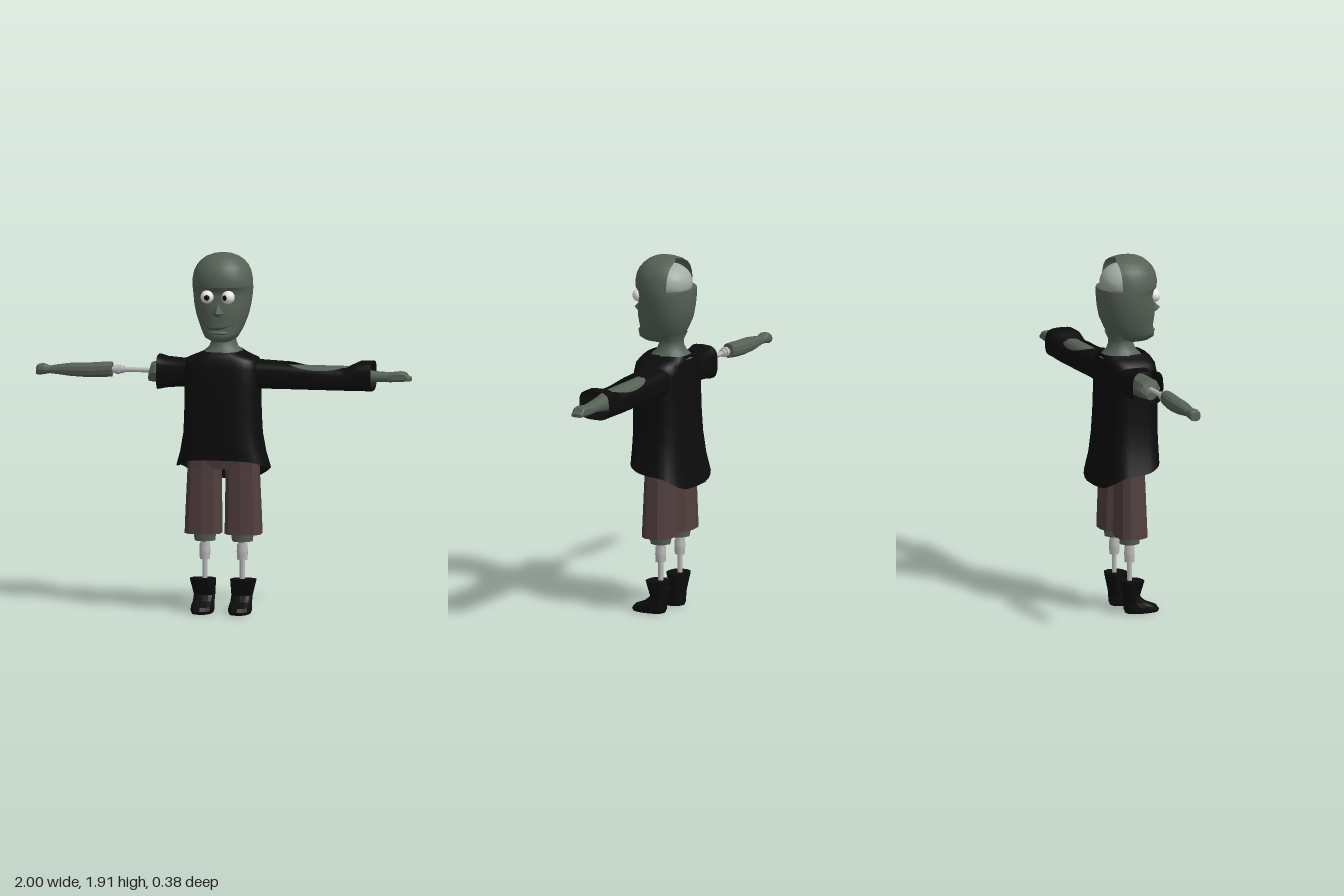
import * as THREE from 'three';
import { mergeGeometries } from 'three/addons/utils/BufferGeometryUtils.js';
import { ConvexGeometry } from 'three/addons/geometries/ConvexGeometry.js';

const mat = (name, color, side = THREE.FrontSide) => {
  const m = new THREE.MeshStandardMaterial({ color, side });
  m.name = name;
  return m;
};

// Signed power: p = 1 gives an ellipse, smaller p a rounded box
const pow = (v, p) => Math.sign(v) * Math.abs(v) ** p;

// Skin over rows of points; open loops leave a slit between first and last point
function loft(rows, n, point, { closed = true, caps = false, flat = false } = {}) {
  const pos = [], idx = [], w = closed ? n : n + 1;
  const rings = rows.map(r => Array.from({ length: w }, (_, i) => point(r, i / n)));
  rings.forEach(r => r.forEach(p => pos.push(...p)));
  for (let j = 0; j < rows.length - 1; j++) for (let i = 0; i < n; i++) {
    const a = j * w + i, b = j * w + (i + 1) % w;
    idx.push(a, b, a + w, b, b + w, a + w);
  }
  if (caps) for (const last of [false, true]) {
    const ring = last ? rings[rings.length - 1] : rings[0], base = pos.length / 3;
    ring.forEach(p => pos.push(...p));
    pos.push(...[0, 1, 2].map(k => ring.reduce((s, p) => s + p[k], 0) / w));
    for (let i = 0; i < w; i++) {
      const a = base + i, b = base + (i + 1) % w;
      idx.push(base + w, last ? a : b, last ? b : a);
    }
  }
  let g = new THREE.BufferGeometry();
  g.setAttribute('position', new THREE.Float32BufferAttribute(pos, 3));
  g.setIndex(idx);
  if (flat) g = g.toNonIndexed();
  g.computeVertexNormals();
  return g;
}

// Upright section: row = [y, halfWidth, zFront, zBack, xCentre]
const upright = (p = 1, gap = () => 0, lift = () => 0) => (r, t) => {
  const w = gap(r), a = Math.PI + w + t * (2 * Math.PI - 2 * w);
  const s = Math.sin(a), c = Math.cos(a);
  return [(r[4] || 0) + r[1] * pow(s, p), r[0] + lift(r, c),
    (r[2] + r[3]) / 2 + (r[2] - r[3]) / 2 * pow(c, p)];
};
// Sideways section: row = [x, yLow, yHigh, zBack, zFront]
const sideways = (p = 1, gap = () => 0) => (r, t) => {
  const w = gap(r), a = w + t * (2 * Math.PI - 2 * w);
  return [r[0], (r[1] + r[2]) / 2 + (r[2] - r[1]) / 2 * pow(Math.cos(a), p),
    (r[3] + r[4]) / 2 + (r[4] - r[3]) / 2 * pow(Math.sin(a), p)];
};

export function createModel() {
  const model = new THREE.Group();
  const skin = mat('skin', 0x566156, THREE.DoubleSide);
  const brainGrey = mat('brainGrey', 0xa3aca6);
  const cloth = mat('blackCloth', 0x0c0c0c, THREE.DoubleSide);
  const brown = mat('brownCloth', 0x523f3f, THREE.DoubleSide);
  const metal = mat('metal', 0xb9b9b9);
  const white = mat('eyeWhite', 0xeeeeea);
  const black = mat('pupilBlack', 0x050505);
  const dark = mat('mouthDark', 0x343c34);
  const add = (name, geo, m, x = 0, y = 0, z = 0) => {
    const mesh = new THREE.Mesh(geo, m);
    mesh.name = name;
    mesh.position.set(x, y, z);
    model.add(mesh);
    return mesh;
  };

  // Head: closed lower part and an upper part cut open at the back
  const lower = [[1.445, .05, .12, -.05], [1.465, .085, .148, -.09], [1.49, .1, .148, -.105],
    [1.52, .115, .138, -.122], [1.58, .137, .145, -.148], [1.64, .15, .143, -.158],
    [1.69, .156, .132, -.161], [1.72, .159, .138, -.161], [1.738, .159, .154, -.161]];
  const upper = [[1.738, .159, .154, -.161], [1.77, .158, .157, -.16], [1.81, .15, .15, -.155],
    [1.84, .136, .136, -.145], [1.865, .115, .115, -.125], [1.885, .088, .09, -.098],
    [1.898, .055, .062, -.066], [1.905, .02, .03, -.01], [1.906, .001, .015, .013]];
  const opening = r => Math.acos(Math.min(1, ((r[2] + r[3]) / 2 + .08) / ((r[2] - r[3]) / 2)));
  add('head', mergeGeometries([
    loft(lower, 32, upright(.95), { caps: true }),
    loft(upper, 32, upright(.95, opening), { closed: false })]), skin);

  // Brain: lumpy ellipsoid inside the opening
  const lump = new THREE.SphereGeometry(1, 28, 20), lp = lump.attributes.position;
  for (let i = 0; i < lp.count; i++) {
    const v = new THREE.Vector3().fromBufferAttribute(lp, i);
    v.multiplyScalar(1 + .015 * Math.sin(v.x * 14) * Math.sin(v.y * 13) * Math.cos(v.z * 12));
    lp.setXYZ(i, v.x * .127, v.y * .105, v.z * .125);
  }
  lump.computeVertexNormals();
  add('brain', lump, brainGrey, 0, 1.763, -.02);

  // Face
  for (const [side, x, turn] of [['right', -.058, .12], ['left', .054, -.45]]) {
    add(side + 'Eye', new THREE.SphereGeometry(.035, 20, 14), white, x, 1.687, .13);
    const pupil = new THREE.SphereGeometry(.0358, 14, 4, 0, Math.PI * 2, 0, .42);
    pupil.rotateX(Math.PI / 2).rotateY(turn);
    add(side + 'Pupil', pupil, black, x, 1.687, .13);
  }
  add('nose', new ConvexGeometry([[0, 1.665, .13], [-.04, 1.6, .13], [.04, 1.6, .13], [0, 1.607, .19],
    [-.025, 1.575, .13], [.025, 1.575, .13]].map(p => new THREE.Vector3(...p))), skin);
  const smile = new THREE.CatmullRomCurve3([[-.07, 1.53, .108], [-.035, 1.518, .13], [.01, 1.522, .138],
    [.06, 1.538, .119], [.09, 1.56, .095]].map(p => new THREE.Vector3(...p)));
  add('mouth', new THREE.TubeGeometry(smile, 20, .006, 6), dark);
  add('lowerLip', new THREE.SphereGeometry(1, 16, 10), skin, 0, 1.497, .125).scale.set(.055, .014, .027);

  // Neck
  add('neck', new THREE.LatheGeometry([[.115, 1.365], [.1, 1.385], [.078, 1.405], [.066, 1.435],
    [.066, 1.46], [.085, 1.5]].map(p => new THREE.Vector2(...p)), 20), skin, 0, 0, -.035);

  // Shirt body, with a hem that is high in front and long at the back
  const hem = (r, c) => Math.max(0, 1 - (r[0] - .765) / .25) * (c > 0 ? .055 * c : -.083 * c * c);
  add('shirtBody', loft([[.765, .245, .13, -.19], [.85, .222, .131, -.172], [.95, .205, .131, -.16],
    [1.05, .2, .131, -.153], [1.2, .198, .13, -.148], [1.3, .2, .125, -.147], [1.345, .188, .118, -.146],
    [1.37, .125, .108, -.145], [1.387, .095, .09, -.14]], 32, upright(.62, undefined, hem)), cloth);

  // Sleeves: long torn left one, short right one
  const tear = r => 1.05 * Math.sqrt(Math.max(0, 1 - ((r[0] - .495) / .15) ** 2));
  const sleeveAt = x => {
    const top = x < .34 ? 1.34 - (x - .14) * .05 : x < .66 ? 1.33 - (x - .34) * .06
      : x < .73 ? 1.311 + (x - .66) * .48 : 1.345;
    return [x, 1.19, top, -.12, .06];
  };
  const xs = [.14, .25, .345];
  for (let i = 1; i <= 12; i++) xs.push(.495 - .15 * Math.cos(i * Math.PI / 12));
  xs.push(.66, .7, .73, .8);
  add('leftSleeve', loft(xs.map(sleeveAt), 24, sideways(.6, tear), { closed: false }), cloth);
  add('rightSleeve', loft([[-.345, 1.172, 1.355, -.115, .06], [-.3, 1.182, 1.342, -.113, .058],
    [-.22, 1.19, 1.335, -.118, .062], [-.14, 1.19, 1.345, -.12, .065]], 20, sideways(.6)), cloth);

  // Left arm and hand
  add('leftArm', loft([[.2, 1.2, 1.32, -.09, .03], [.36, 1.2, 1.318, -.085, .025],
    [.64, 1.205, 1.318, -.08, .02], [.72, 1.22, 1.305, -.075, .01], [.82, 1.237, 1.292, -.075, .003],
    [.9, 1.237, 1.288, -.074, .002]], 16, sideways(.8), { caps: true }), skin);
  add('leftHand', loft([[.88, 1.238, 1.288, -.074, .002], [.94, 1.24, 1.296, -.072, 0],
    [.97, 1.242, 1.292, -.07, -.002], [.985, 1.244, 1.272, -.07, -.004], [1, 1.246, 1.265, -.066, -.008]],
    10, sideways(.55), { caps: true, flat: true }), skin);

  // Right arm: stump, metal rod with joint, forearm and hand
  add('rightArmStump', loft([[-.4, 1.21, 1.255, -.06, -.01], [-.385, 1.208, 1.31, -.09, .022],
    [-.36, 1.205, 1.318, -.1, .035], [-.2, 1.2, 1.32, -.1, .035]], 8, sideways(), { caps: true, flat: true }), skin);
  const armRod = (name, r, x0, x1) =>
    add(name, new THREE.CylinderGeometry(r, r, x1 - x0, 10).rotateZ(Math.PI / 2), metal, (x0 + x1) / 2, 1.267, -.033);
  armRod('armRod', .013, -.61, -.37);
  armRod('armJoint', .02, -.585, -.53);
  armRod('armJointRing', .026, -.575, -.552);
  add('rightForearm', loft([[-1, 1.228, 1.275, -.068, -.012], [-.985, 1.226, 1.286, -.072, -.006],
    [-.96, 1.23, 1.288, -.072, -.004], [-.93, 1.236, 1.276, -.068, -.006], [-.89, 1.232, 1.284, -.07, -.004],
    [-.82, 1.224, 1.294, -.079, .004], [-.72, 1.22, 1.298, -.079, .006], [-.65, 1.222, 1.304, -.073, .003],
    [-.595, 1.228, 1.306, -.066, -.002]], 12, sideways(.85), { caps: true, flat: true }), skin);

  // Legs, mirrored
  add('trouserSeat', loft([[.76, .17, .035, -.09], [.82, .185, .045, -.105], [.95, .18, .05, -.11]],
    16, upright(.6), { caps: true, flat: true }), brown);
  for (const [side, s] of [['right', -1], ['left', 1]]) {
    const x = s * .1, cx = s * .107;
    add(side + 'TrouserLeg', loft([[.415, .098, .055, -.11, cx], [.55, .095, .05, -.106, s * .105],
      [.7, .09, .045, -.102, s * .103], [.77, .09, .042, -.1, s * .1], [.86, .092, .042, -.1, s * .095]],
      10, upright(.7), { caps: true, flat: true }), brown);
    const legPart = (name, r0, r1, y0, y1, m) =>
      add(side + name, new THREE.CylinderGeometry(r1, r0, y1 - y0, 8).toNonIndexed(), m, x, (y0 + y1) / 2, -.028);
    legPart('LegStump', .055, .064, .375, .44, skin);
    legPart('LegSocket', .024, .024, .355, .38, metal);
    legPart('LegJointUpper', .03, .027, .318, .362, metal);
    legPart('LegJointLower', .027, .03, .275, .318, metal);
    legPart('LegRod', .014, .014, .08, .28, metal);
    add(side + 'Boot', loft([[0, .054, .132, -.05, x], [.015, .06, .137, -.056, x], [.035, .06, .12, -.057, x],
      [.06, .056, .06, -.056, x], [.09, .056, .022, -.06, x], [.175, .069, .045, -.075, s * .108]],
      14, upright(.85), { caps: true, flat: true }), cloth);
  }
  return model;
}
